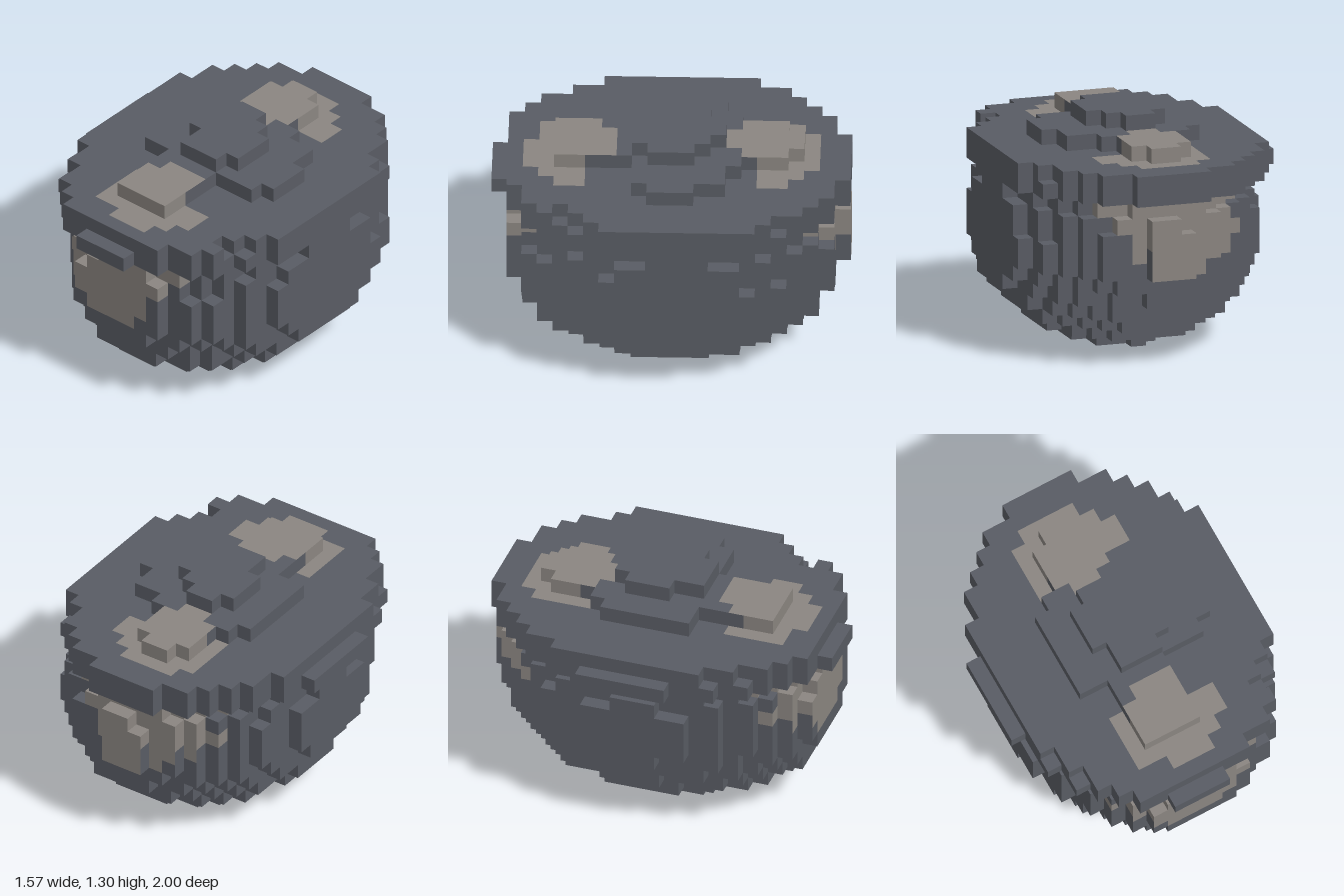
import * as THREE from 'three';

const S = 2 / 23;            // size of one cube
const NX = 18, NZ = 23;      // cubes across and deep

// bowl: centre of its oval layers, then half width and half depth from the base up
const CX = 9.75, CZ = 11.4;
const BOWL = [
  [3, 4], [5.1, 6.6], [6.5, 8.4], [7.4, 9.6], [8, 10.05], [8.4, 10.6],
  [8.66, 11.05], [8.66, 11.05], [8.6, 11.05], [8.31, 10.95], [7.9, 10.4],
];
// lid rim rows from back to front: x start, x end
const RIM = [
  [7, 12], [5, 14], [4, 15], [3, 16], [2, 17], [2, 17], [1, 18], [1, 18],
  [0, 18], [0, 18], [0, 18], [0, 18], [0, 18], [0, 18], [1, 18], [1, 18],
  [1, 17], [2, 17], [2, 16], [3, 16], [4, 15], [5, 13], [7, 11],
];
// corners left out of the lid's upper layer: x, z
const NOTCHES = [[1, 16], [2, 18], [16, 17], [15, 18], [16, 4]];
// raised step on the lid, rows from z = 3, with a tab at each end
const STEP = [
  [8, 10], [7, 11], [7, 11], [7, 11], [6, 12], [5, 14], [5, 14], [5, 15],
  [5, 15], [5, 15], [5, 14], [7, 11], [7, 11], [7, 11], [7, 11], [7, 11],
];
// knob rows from z = 8
const KNOB = [[8, 10], [7, 11], [7, 12], [7, 12], [8, 12], [8, 11]];
// worn patches on the lid: z row -> x start, x end
const LID_PATCH = {
  2: [7, 11], 3: [6, 12], 4: [6, 13], 5: [6, 13], 6: [6, 11], 7: [8, 10],
  15: [8, 11], 16: [6, 11], 17: [6, 13], 18: [6, 13], 19: [6, 12], 20: [8, 11],
};
// worn patches on the bowl ends: layer -> x start, x end
const END_PATCH = { 6: [7, 11], 7: [5, 12], 8: [4, 12], 9: [5, 13], 10: [4, 14] };

const within = (r, i) => !!r && i >= r[0] && i < r[1];

// name of the part that fills a cell, or null
function partAt(i, j, k) {
  if (i < 0 || i >= NX || k < 0 || k >= NZ || j < 0 || j > 14) return null;
  if (j < 11) {
    const [a, b] = BOWL[j];
    return Math.hypot((i + 0.5 - CX) / a, (k + 0.5 - CZ) / b) <= 1 ? 'bowl' : null;
  }
  if (j === 11) return within(RIM[k], i) ? 'lidRim' : null;
  if (j === 12) {
    const cut = NOTCHES.some(([x, z]) => x === i && z === k);
    return within(RIM[k], i) && i > 0 && k < 22 && !cut ? 'lidTop' : null;
  }
  if (j === 13) return within(STEP[k - 3], i) ? 'lidStep' : null;
  return within(KNOB[k - 8], i) ? 'knob' : null;
}

// whether a cell's face across the given axis is worn
function isWorn(i, j, k, axis) {
  if (axis === 0 && (j < 8 || (j === 13 && k > 5 && k < 17))) return false;
  if (j === 12 || j === 13) return within(LID_PATCH[k], i);
  return within(END_PATCH[j], i);
}

// adds the square on one side of a cell
function addFace(buf, cell, axis, dir) {
  const a = (axis + 1) % 3, b = (axis + 2) % 3;
  const corners = [[0, 0], [1, 0], [1, 1], [0, 1]];
  const order = dir > 0 ? [0, 1, 2, 0, 2, 3] : [0, 2, 1, 0, 3, 2];
  for (const c of order) {
    const p = [...cell], n = [0, 0, 0];
    if (dir > 0) p[axis] += 1;
    p[a] += corners[c][0];
    p[b] += corners[c][1];
    n[axis] = dir;
    buf.pos.push((p[0] - NX / 2) * S, p[1] * S, (p[2] - NZ / 2) * S);
    buf.nor.push(...n);
  }
}

export function createModel() {
  const group = new THREE.Group();
  group.name = 'lidded pot';
  const iron = new THREE.MeshStandardMaterial({ color: 0x595c64 });
  iron.name = 'dark iron';
  const worn = new THREE.MeshStandardMaterial({ color: 0x8b8681 });
  worn.name = 'worn grey brown';

  // collect the exposed sides of every cube, by part and colour
  const buffers = {};
  for (let j = 0; j < 15; j++) for (let k = 0; k < NZ; k++) for (let i = 0; i < NX; i++) {
    const part = partAt(i, j, k);
    if (!part) continue;
    for (let axis = 0; axis < 3; axis++) for (const dir of [-1, 1]) {
      const q = [i, j, k];
      q[axis] += dir;
      if (partAt(...q)) continue;
      const patch = isWorn(i, j, k, axis);
      const key = part + (patch ? 'Patch' : '');
      const buf = (buffers[key] ??= { pos: [], nor: [], mat: patch ? worn : iron });
      addFace(buf, [i, j, k], axis, dir);
    }
  }

  for (const [name, { pos, nor, mat }] of Object.entries(buffers)) {
    const geo = new THREE.BufferGeometry();
    geo.setAttribute('position', new THREE.Float32BufferAttribute(pos, 3));
    geo.setAttribute('normal', new THREE.Float32BufferAttribute(nor, 3));
    const mesh = new THREE.Mesh(geo, mat);
    mesh.name = name;
    group.add(mesh);
  }
  return group;
}
